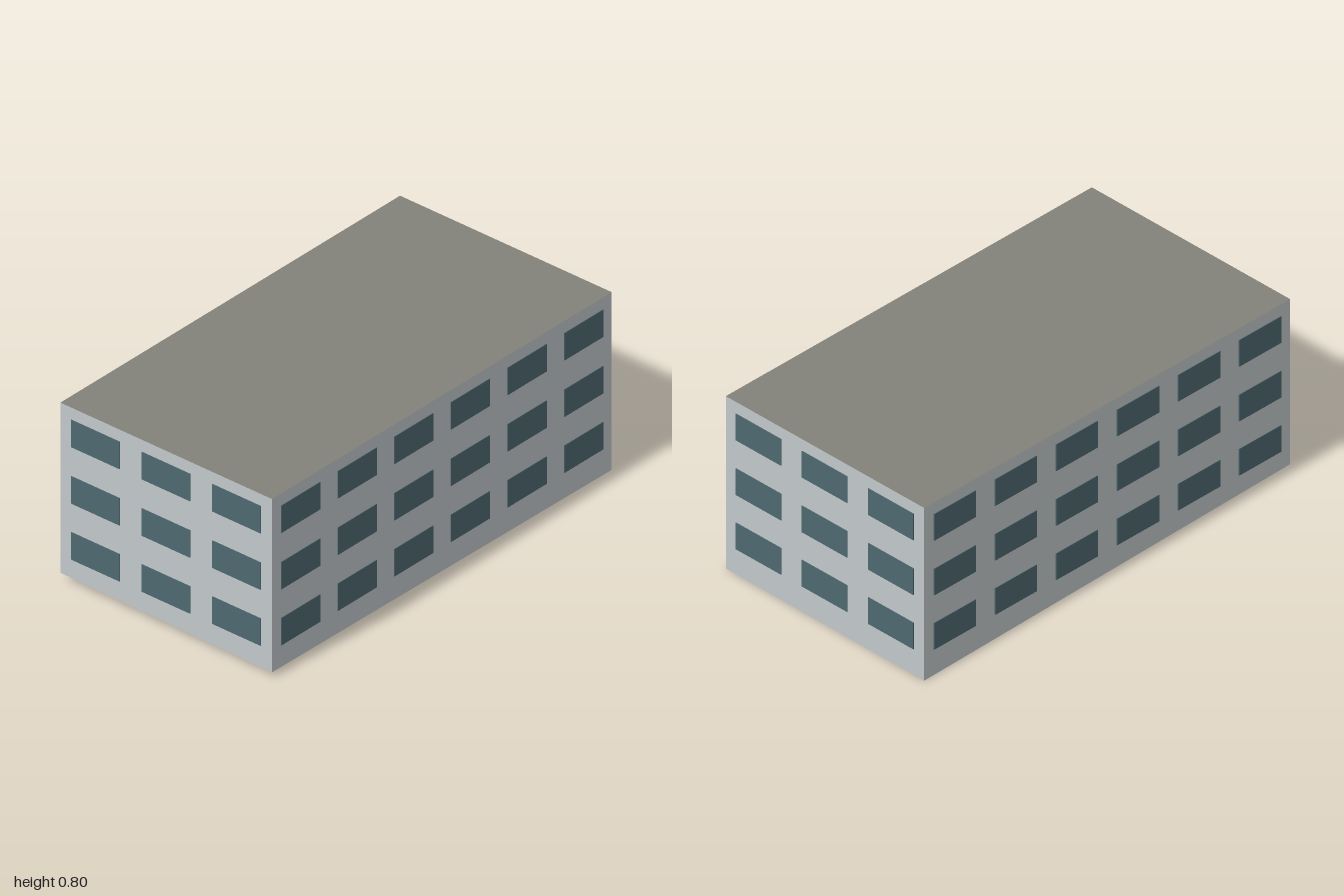
import * as THREE from 'three';

const W = 1.062, D = 1.971, TOP = 0.796;

export function createModel() {
  const wall = new THREE.MeshStandardMaterial({ name: 'pale wall', color: 0xc2c8cb });
  const roof = new THREE.MeshStandardMaterial({ name: 'grey roof', color: 0x82827a });
  const glass = new THREE.MeshStandardMaterial({ name: 'teal glass', color: 0x4d6870 });

  const building = new THREE.Group();
  building.name = 'building';

  // Block with a roof-coloured top face and an underside following sloping ground
  const geo = new THREE.BoxGeometry(W, TOP, D);
  geo.translate(0, TOP / 2, 0);
  const pos = geo.attributes.position;
  for (let i = 0; i < pos.count; i++) {
    if (pos.getY(i) > TOP / 2) continue;
    const front = pos.getZ(i) > 0, left = pos.getX(i) > 0;
    pos.setY(i, front ? (left ? 0.022 : 0.036) : (left ? 0.002 : 0));
  }
  // Fold the underside along its other diagonal
  [12, 14, 15, 12, 15, 13].forEach((v, i) => geo.index.setX(18 + i, v));
  geo.computeVertexNormals();
  const block = new THREE.Mesh(geo, [wall, wall, roof, wall, wall, wall]);
  block.name = 'block';
  building.add(block);

  // Three rows of window plates on one wall
  function addWindows(name, angle, distance, columns, spacing, width) {
    const side = new THREE.Group();
    side.name = name;
    side.rotation.y = angle;
    const plate = new THREE.BoxGeometry(width, 0.122, 0.006);
    for (const y of [0.18, 0.43, 0.682]) {
      for (let c = 0; c < columns; c++) {
        const pane = new THREE.Mesh(plate, glass);
        pane.name = 'window';
        pane.position.set((c - (columns - 1) / 2) * spacing, y, distance);
        side.add(pane);
      }
    }
    building.add(side);
  }
  addWindows('frontWindows', 0, D / 2, 3, W / 3, 0.243);
  addWindows('backWindows', Math.PI, D / 2, 3, W / 3, 0.243);
  addWindows('leftWindows', Math.PI / 2, W / 2, 6, D / 6, 0.226);
  addWindows('rightWindows', -Math.PI / 2, W / 2, 6, D / 6, 0.226);

  // The whole building stands slightly turned on its plot
  building.rotation.y = -0.0244;
  const model = new THREE.Group();
  model.name = 'model';
  model.add(building);
  return model;
}
